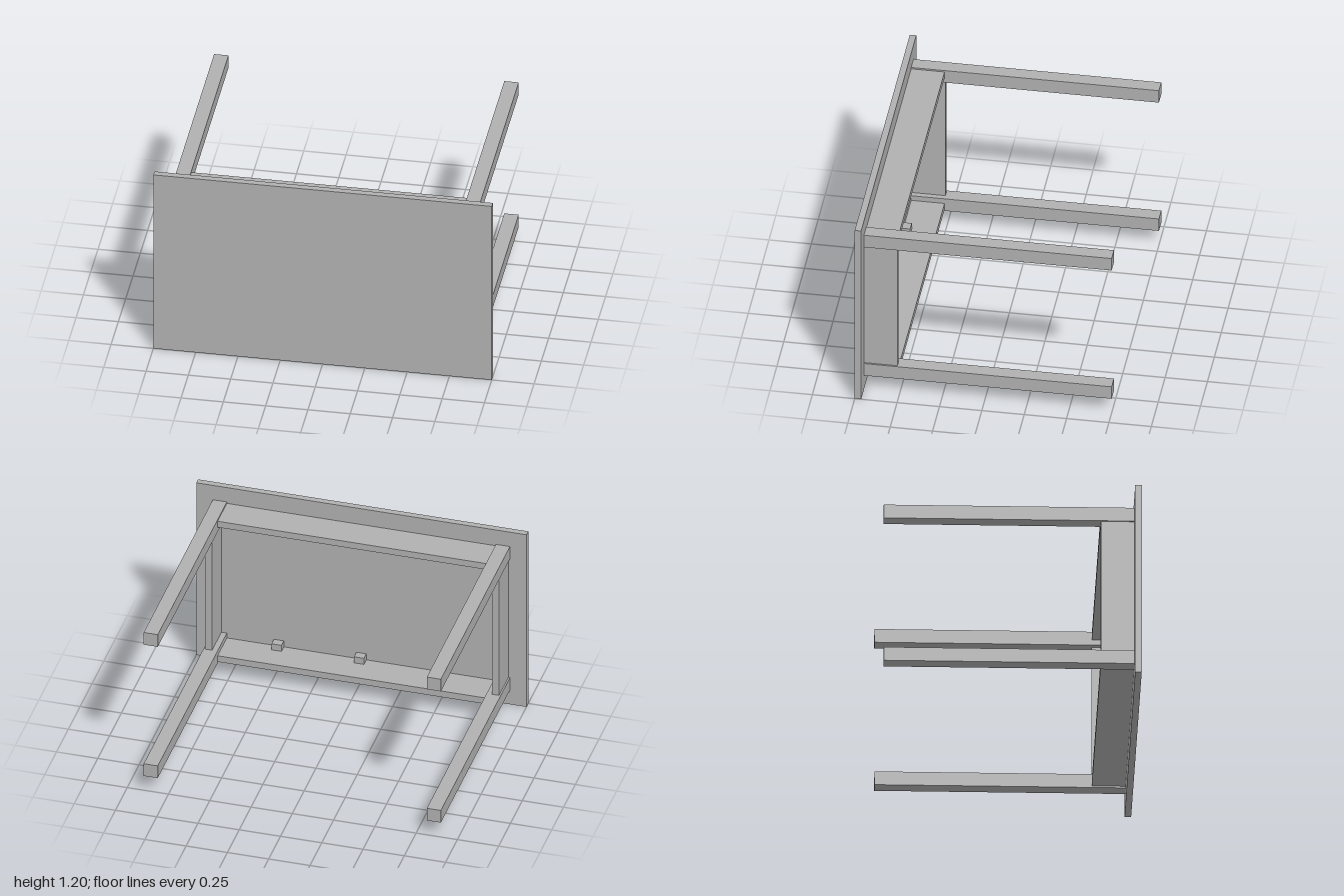
import * as THREE from 'three';

// A table lying on its side: the top faces +z, the legs point to -z.
export function createModel() {
  const model = new THREE.Group();
  model.name = 'table';
  const grey = new THREE.MeshStandardMaterial({ color: 0xb0b0b0 });
  grey.name = 'grey';

  // Box given by its lower and upper limits on each axis
  function box(name, [x0, x1], [y0, y1], [z0, z1]) {
    const mesh = new THREE.Mesh(new THREE.BoxGeometry(x1 - x0, y1 - y0, z1 - z0), grey);
    mesh.position.set((x0 + x1) / 2, (y0 + y1) / 2, (z0 + z1) / 2);
    mesh.name = name;
    model.add(mesh);
  }
  // Range between two distances from a centre, on the given side
  const range = (centre, side, near, far) =>
    side > 0 ? [centre + near, centre + far] : [centre - far, centre - near];

  const midY = 0.6;
  const under = 0.712; // underside of the table top
  const apronZ = [0.515, under];

  box('tableTop', [-1, 1], [0, 1.2], [under, 0.75]);

  for (const side of [-1, 1]) {
    // Legs
    for (const end of [-1, 1]) {
      box('leg', range(0, side, 0.815, 0.9), range(midY, end, 0.415, 0.5), [-0.75, under]);
    }
    // Aprons between the legs, set in slightly from their outer faces
    box('longApron', [-0.815, 0.815], range(midY, side, 0.448, 0.49), apronZ);
    box('shortApron', range(0, side, 0.848, 0.89), [midY - 0.415, midY + 0.415], apronZ);
    // Fixing blocks in the corner of each long apron and the top
    for (const x of [-0.5, 0, 0.5]) {
      box('fixingBlock', [x - 0.03, x + 0.03], range(midY, side, 0.406, 0.448), [0.662, under]);
    }
  }
  return model;
}
